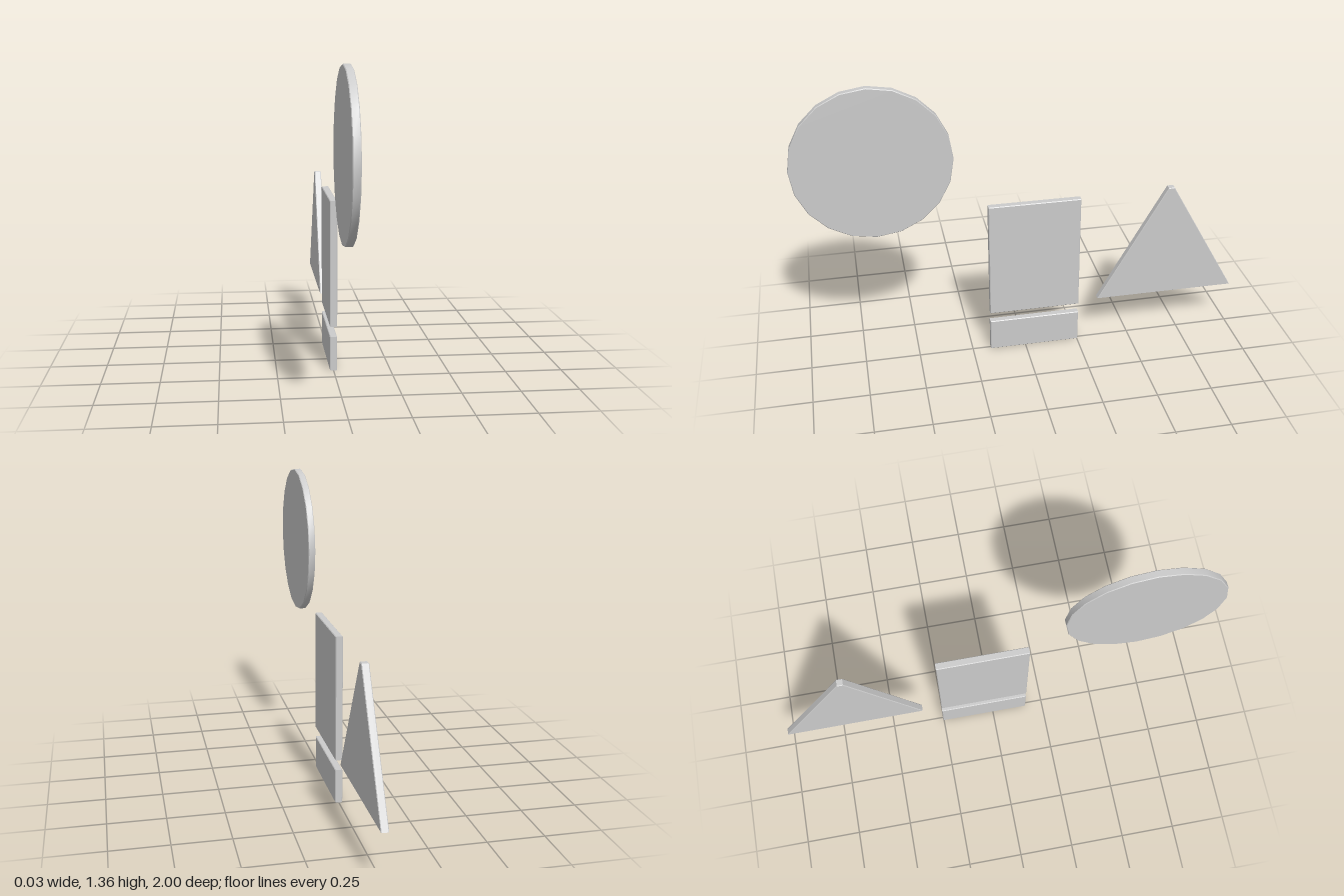
import * as THREE from 'three';
import { toCreasedNormals } from 'three/addons/utils/BufferGeometryUtils.js';

const THICKNESS = 0.032;
const BEVEL = 0.003;

// Flat plate from a [z, y] outline, with a fine bevel, thin along x
function plate(name, outline) {
  const shape = new THREE.Shape(outline.map(([z, y]) => new THREE.Vector2(z, y)));
  const depth = THICKNESS - 2 * BEVEL;
  const geometry = new THREE.ExtrudeGeometry(shape, {
    depth, bevelEnabled: true, bevelSegments: 1,
    bevelSize: BEVEL, bevelThickness: BEVEL, bevelOffset: -BEVEL,
  });
  geometry.translate(0, 0, -depth / 2).rotateY(-Math.PI / 2);
  const mesh = new THREE.Mesh(
    toCreasedNormals(geometry, 0.5),
    new THREE.MeshStandardMaterial({ color: 0xcccccc }),
  );
  mesh.name = name;
  return mesh;
}

const rectangle = (z0, z1, y0, y1) => [[z0, y0], [z1, y0], [z1, y1], [z0, y1]];

function polygon(z, y, radius, sides) {
  return Array.from({ length: sides }, (_, i) => {
    const a = (i / sides) * Math.PI * 2;
    return [z + radius * Math.cos(a), y + radius * Math.sin(a)];
  });
}

export function createModel() {
  const group = new THREE.Group();
  group.name = 'shapePlates';
  group.add(
    plate('roundPlate', polygon(0.655, 1.011, 0.345, 20)),
    plate('tallPlate', rectangle(-0.253, 0.166, 0.199, 0.757)),
    plate('lowPlate', rectangle(-0.253, 0.166, 0, 0.154)),
    // Triangle with a blunted tip
    plate('trianglePlate', [[-1, 0.216], [-0.345, 0.216], [-0.659, 0.77], [-0.686, 0.77]]),
  );
  return group;
}
